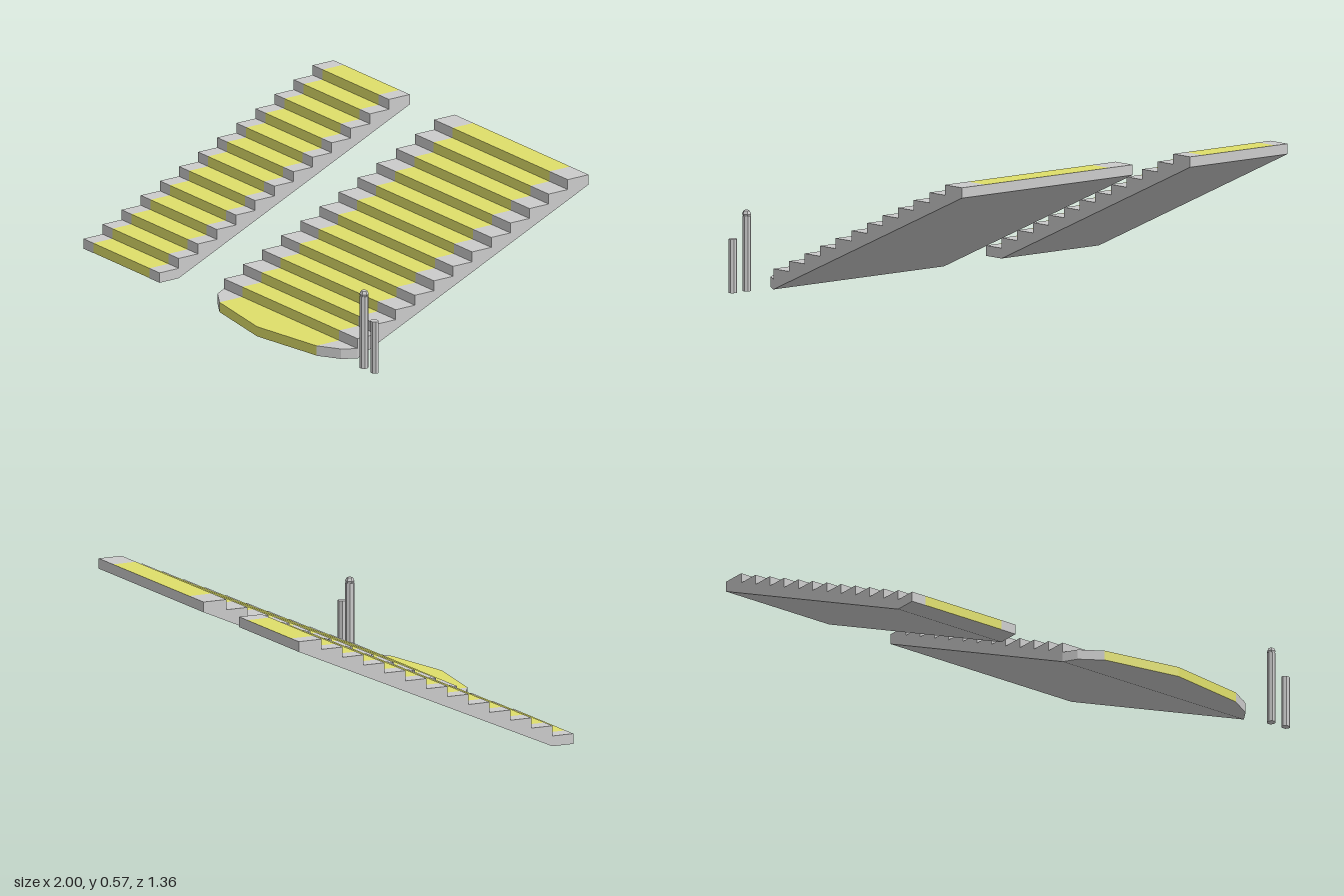
import * as THREE from 'three';

const RISE = 0.0435, RUN = 0.098, STEPS = 13;
const Z0 = 0.507, BACK = -0.678, TOP = RISE * STEPS;
const grey = new THREE.MeshStandardMaterial({ color: 0xcccccc, flatShading: true });
const yellow = new THREE.MeshStandardMaterial({ color: 0xdfdf6a, flatShading: true, side: THREE.DoubleSide });

function add(parent, name, geometry, material) {
  const mesh = new THREE.Mesh(geometry, material);
  mesh.name = name;
  parent.add(mesh);
  return mesh;
}

const shapeOf = (points) => new THREE.Shape(points.map(([a, b]) => new THREE.Vector2(a, b)));

// Zigzag of risers and treads as [z, y], above the first step
function zigzag() {
  const points = [[Z0, RISE]];
  for (let i = 1; i < STEPS; i++) {
    const z = Z0 - (i - 1) * RUN;
    points.push([z, RISE * (i + 1)]);
    points.push([i === STEPS - 1 ? BACK : z - RUN, RISE * (i + 1)]);
  }
  return points;
}

// Sheet that sweeps a [z, y] line across x; faces up when the line runs backwards
function ribbon(points, x0, x1) {
  const pos = [];
  for (let i = 0; i < points.length - 1; i++) {
    const [za, ya] = points[i], [zb, yb] = points[i + 1];
    pos.push(x0, ya, za, x1, ya, za, x1, yb, zb);
    pos.push(x0, ya, za, x1, yb, zb, x0, yb, zb);
  }
  const g = new THREE.BufferGeometry();
  g.setAttribute('position', new THREE.Float32BufferAttribute(pos, 3));
  g.computeVertexNormals();
  return g;
}

// Side-profile slab between x0 and x1
function slab(points, x0, x1) {
  const g = new THREE.ExtrudeGeometry(shapeOf(points), { depth: x1 - x0, bevelEnabled: false });
  return g.rotateY(-Math.PI / 2).scale(1, 1, 1).translate(x1, 0, 0);
}

// Plan outline [x, z] raised from y0 to y1
function plate(points, y0, y1) {
  const g = new THREE.ExtrudeGeometry(shapeOf(points.map(([x, z]) => [x, -z])),
    { depth: y1 - y0, bevelEnabled: false });
  return g.rotateX(-Math.PI / 2).translate(0, y0, 0);
}

// One flight: grey borders, coloured middle; front holds the plan of the first step
function flight(name, x0, a, b, x1, front) {
  const group = new THREE.Group();
  group.name = name;
  const line = zigzag();
  // after rotateY(-90) shape x becomes z
  const side = [[Z0, 0], ...line, [BACK, TOP - RISE]];
  add(group, 'rightBorder', slab(side, x0, a), grey);
  add(group, 'leftBorder', slab(side, b, x1), grey);
  add(group, 'treads', ribbon(line, a, b), yellow);
  add(group, 'underside', ribbon([[BACK, TOP], [BACK, TOP - RISE], [Z0, 0]], a, b), grey);

  // First step
  add(group, 'firstStepRight', plate([[x0, Z0], ...front.right, [a, Z0]], 0, RISE), grey);
  add(group, 'firstStepLeft', plate([[b, Z0], ...front.left, [x1, Z0]], 0, RISE), grey);
  const middle = [[a, Z0], ...front.middle, [b, Z0]];
  add(group, 'firstStepMiddle', plate(middle, 0.001, RISE), yellow);
  const base = new THREE.ShapeGeometry(shapeOf(middle)).rotateX(Math.PI / 2);
  add(group, 'firstStepBase', base, grey);
  return group;
}

// Eight-sided post
function post(name, x, z, width, depth, height) {
  const group = new THREE.Group();
  group.name = name;
  const r = 0.5 / Math.cos(Math.PI / 8);
  const g = new THREE.CylinderGeometry(r, r, height, 8).rotateY(Math.PI / 8);
  g.scale(width, 1, depth).translate(0, height / 2, 0);
  add(group, 'shaft', g, grey);
  group.position.set(x, 0, z);
  return group;
}

export function createModel() {
  const model = new THREE.Group();
  model.name = 'stairs';

  // Wide flight with a bowed first step
  model.add(flight('wideFlight', -0.145, -0.015, 0.668, 0.797, {
    right: [[-0.11, 0.565], [-0.015, 0.624]],
    middle: [[-0.015, 0.624], [0.327, 0.68], [0.668, 0.624]],
    left: [[0.668, 0.624], [0.762, 0.565]],
  }));

  // Narrow flight with a square first step
  const f = 0.605;
  model.add(flight('narrowFlight', -1, -0.93, -0.535, -0.463, {
    right: [[-1, f], [-0.93, f]],
    middle: [[-0.93, f], [-0.535, f]],
    left: [[-0.535, f], [-0.463, f]],
  }));

  // Posts beside the wide flight
  const tall = post('tallPost', 0.905, 0.552, 0.034, 0.036, 0.315);
  add(tall, 'ballCap', new THREE.SphereGeometry(0.0195, 6, 4), grey).position.y = 0.323;
  model.add(tall, post('shortPost', 0.98, 0.553, 0.037, 0.031, 0.226));
  return model;
}
